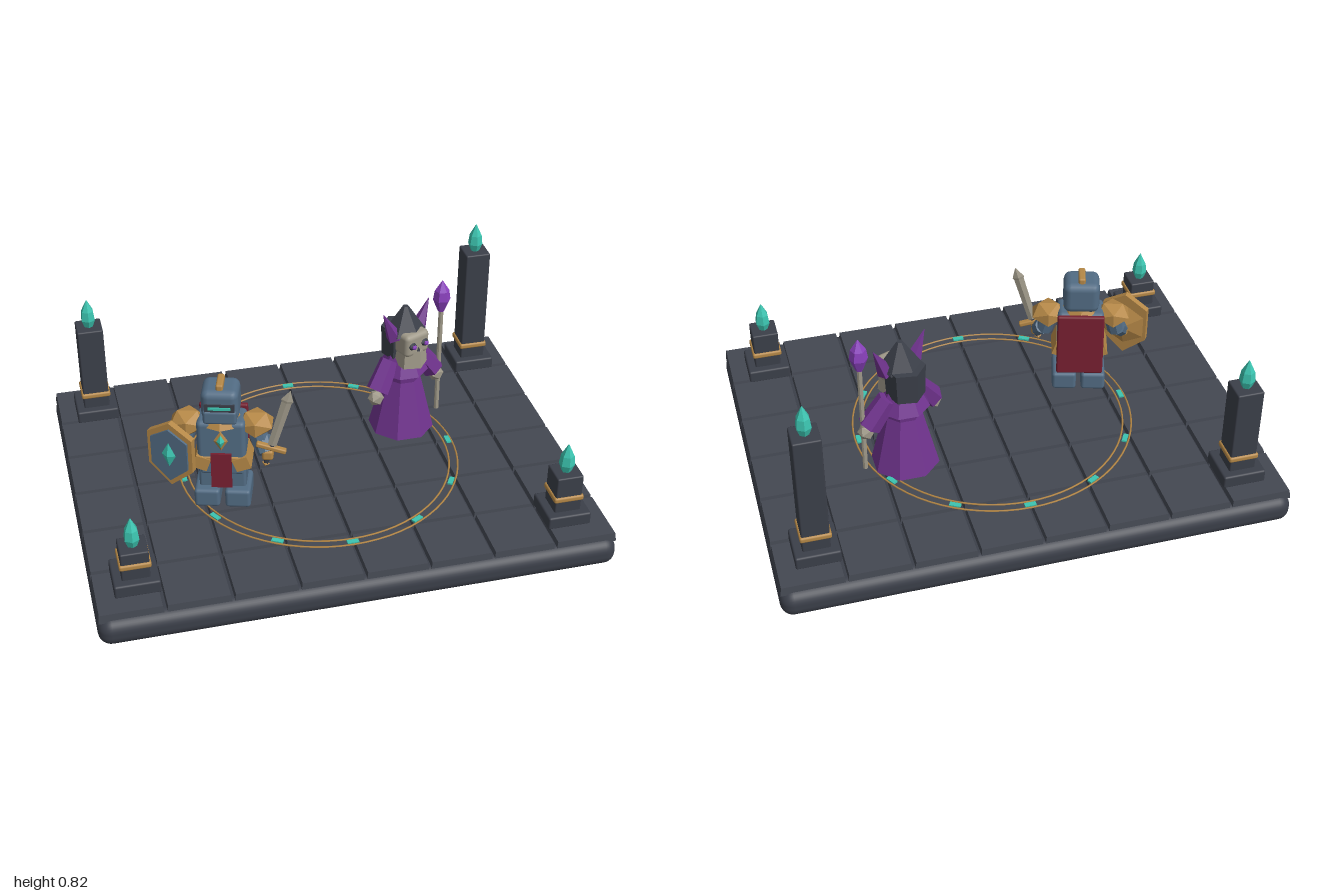
import * as THREE from 'three';
import { RoundedBoxGeometry } from 'three/addons/geometries/RoundedBoxGeometry.js';

const paint = (name, color) => Object.assign(new THREE.MeshStandardMaterial({ color }), { name });
const M = {
  stone: paint('darkStone', 0x3b3f49),
  tile: paint('tileStone', 0x444852),
  gold: paint('agedGold', 0xb58847),
  teal: paint('tealCrystal', 0x3cc4b0),
  blue: paint('blueSteel', 0x526c84),
  red: paint('redCloth', 0x761f30),
  purple: paint('purpleCloth', 0x71348f),
  violet: paint('violetCrystal', 0x8a41bd),
  bone: paint('paleBone', 0xa09a8a),
};

function add(parent, name, geo, mat, pos = [0, 0, 0], rot = [0, 0, 0]) {
  const mesh = new THREE.Mesh(geo, mat);
  mesh.name = name;
  mesh.position.set(...pos);
  mesh.rotation.set(...rot);
  parent.add(mesh);
  return mesh;
}

function group(parent, name, pos = [0, 0, 0], rot = [0, 0, 0]) {
  const g = new THREE.Group();
  g.name = name;
  g.position.set(...pos);
  g.rotation.set(...rot);
  parent.add(g);
  return g;
}

// Faceted normals without touching the material
function flat(geo) {
  const g = geo.index ? geo.toNonIndexed() : geo;
  g.computeVertexNormals();
  return g;
}
const box = (w, h, d) => new THREE.BoxGeometry(w, h, d);
const soft = (w, h, d, r = 0.012) => new RoundedBoxGeometry(w, h, d, 2, r);
const cone = (top, bottom, h, n) => flat(new THREE.CylinderGeometry(top, bottom, h, n));
const lathe = (pts, n) => flat(new THREE.LatheGeometry(pts.map(p => new THREE.Vector2(...p)), n));
const gem = (w, h, d) => flat(new THREE.OctahedronGeometry(1).scale(w, h, d));

// Tapered limb running from a to b
function limb(parent, name, a, b, ra, rb, n, mat) {
  const A = new THREE.Vector3(...a), B = new THREE.Vector3(...b);
  const dir = B.clone().sub(A);
  const mesh = add(parent, name, cone(rb, ra, dir.length(), n), mat);
  mesh.position.copy(A).add(B).multiplyScalar(0.5);
  mesh.quaternion.setFromUnitVectors(new THREE.Vector3(0, 1, 0), dir.normalize());
  return mesh;
}

const crystal = () => lathe([[0.001, 0], [0.018, 0], [0.031, 0.035], [0.026, 0.075], [0.001, 0.125]], 6);

function buildFloor(root) {
  add(root, 'baseSlab', new RoundedBoxGeometry(2, 0.115, 1.55, 4, 0.05), M.stone, [0, 0.0575, 0]);
  const floor = group(root, 'floorTiles');
  // Each tile has chamfered sides
  const tile = flat(new THREE.CylinderGeometry(0.116 * Math.SQRT2, 0.121 * Math.SQRT2, 0.035, 4).rotateY(Math.PI / 4));
  for (let i = 0; i < 8; i++)
    for (let j = 0; j < 6; j++)
      add(floor, 'tile', tile, M.tile, [-0.875 + i * 0.25, 0.1205, -0.625 + j * 0.25]);

  // Inlaid ritual circle
  const ring = group(root, 'ritualCircle', [0, 0.139, 0]);
  for (const r of [0.57, 0.535])
    add(ring, 'goldRing', new THREE.TorusGeometry(r, 0.004, 5, 72), M.gold, [0, 0, 0], [Math.PI / 2, 0, 0]);
  for (let i = 0; i < 12; i++) {
    const a = i * Math.PI / 6;
    add(ring, 'rune', box(0.02, 0.008, 0.045), M.teal, [Math.cos(a) * 0.555, 0.002, -Math.sin(a) * 0.555], [0, a, 0]);
  }
}

function buildPillar(root, x, z, top) {
  const p = group(root, 'crystalPillar', [x, 0, z]);
  add(p, 'plinth', soft(0.172, 0.055, 0.172, 0.008), M.stone, [0, 0.16, 0]);
  add(p, 'shaft', soft(0.106, top - 0.17, 0.106, 0.006), M.stone, [0, (top + 0.17) / 2, 0]);
  add(p, 'goldBand', soft(0.12, 0.024, 0.12, 0.008), M.gold, [0, 0.246, 0]);
  add(p, 'crystal', crystal(), M.teal, [0, top - 0.003, 0]);
}

function hexPlate(scale, depth) {
  const pts = [[0, 0.143], [-0.095, 0.085], [-0.095, -0.06], [0, -0.143], [0.095, -0.06], [0.095, 0.085]];
  const shape = new THREE.Shape(pts.map(([x, y]) => new THREE.Vector2(x * scale, y * scale)));
  return new THREE.ExtrudeGeometry(shape, { depth, bevelEnabled: false });
}

function buildKnight(root) {
  const k = group(root, 'knight', [-0.415, 0, 0.14], [0, -0.29, 0]);
  // Body
  add(k, 'torso', soft(0.19, 0.19, 0.125, 0.02), M.blue, [0, 0.425, 0]);
  add(k, 'hips', soft(0.17, 0.08, 0.115), M.blue, [0, 0.315, 0]);
  add(k, 'belt', soft(0.195, 0.03, 0.135, 0.008), M.gold, [0, 0.35, 0]);
  add(k, 'tabard', box(0.08, 0.15, 0.012), M.red, [0, 0.31, 0.077], [-0.06, 0, 0]);
  add(k, 'cape', soft(0.19, 0.275, 0.022, 0.008), M.red, [0, 0.385, -0.082], [0.04, 0, 0]);
  add(k, 'chestSetting', gem(0.028, 0.045, 0.014), M.gold, [0, 0.44, 0.064]);
  add(k, 'chestGem', gem(0.016, 0.03, 0.014), M.teal, [0, 0.44, 0.07]);
  add(k, 'gorget', cone(0.065, 0.085, 0.035, 8), M.gold, [0, 0.515, 0]);
  // Helmet
  add(k, 'helmet', soft(0.145, 0.135, 0.135, 0.03), M.blue, [0, 0.592, 0]);
  add(k, 'faceGuard', soft(0.13, 0.06, 0.03), M.blue, [0, 0.55, 0.06]);
  add(k, 'visor', box(0.115, 0.034, 0.014), M.stone, [0, 0.593, 0.064]);
  add(k, 'visorGlow', box(0.085, 0.011, 0.006), M.teal, [0, 0.593, 0.073]);
  add(k, 'crest', soft(0.028, 0.03, 0.09, 0.008), M.gold, [0, 0.665, 0]);
  // Mirrored limbs and armour
  for (const s of [-1, 1]) {
    add(k, 'boot', soft(0.1, 0.08, 0.155, 0.014), M.blue, [s * 0.06, 0.178, 0.012]);
    add(k, 'leg', soft(0.08, 0.12, 0.105), M.blue, [s * 0.052, 0.265, 0]);
    add(k, 'tasset', box(0.06, 0.055, 0.13), M.gold, [s * 0.078, 0.335, 0.006], [0, 0, s * 0.35]);
    const pad = flat(new THREE.IcosahedronGeometry(0.075, 0).scale(1, 0.72, 1));
    add(k, 'pauldron', pad, M.gold, [s * 0.132, 0.487, 0]);
    limb(k, 'upperArm', [s * 0.13, 0.48, 0], [s * 0.15, 0.4, 0.01], 0.036, 0.036, 8, M.blue);
    limb(k, 'forearm', [s * 0.15, 0.42, 0], [s * 0.172, 0.375, 0.045], 0.036, 0.032, 8, M.blue);
    add(k, 'gauntlet', soft(0.045, 0.045, 0.045), M.gold, [s * 0.178, 0.375, 0.045]);
  }
  // Sword
  const sword = group(k, 'sword', [0.186, 0.385, 0.05], [0, 0, -0.285]);
  add(sword, 'grip', cone(0.01, 0.01, 0.09, 8), M.stone, [0, -0.01, 0]);
  add(sword, 'pommel', gem(0.016, 0.016, 0.016), M.gold, [0, -0.055, 0]);
  add(sword, 'crossguard', soft(0.12, 0.02, 0.025, 0.006), M.gold, [0, 0.022, 0]);
  const blade = lathe([[0.001, 0], [0.017, 0], [0.02, 0.215], [0.024, 0.225], [0.001, 0.27]], 4);
  add(sword, 'blade', blade.scale(1, 1, 0.4), M.bone, [0, 0.025, 0]);
  // Shield
  const shield = group(k, 'shield', [-0.185, 0.388, 0.065], [0, -0.36, 0]);
  add(shield, 'shieldRim', hexPlate(1, 0.026), M.gold);
  add(shield, 'shieldBoss', cone(0.02, 0.095, 0.025, 6), M.gold, [0, 0, -0.0125], [-Math.PI / 2, 0, 0]);
  add(shield, 'shieldFace', hexPlate(0.82, 0.01), M.blue, [0, 0, 0.025]);
  add(shield, 'shieldGem', gem(0.03, 0.055, 0.016), M.teal, [0, 0.005, 0.036]);
}

function buildSorcerer(root) {
  const w = group(root, 'sorcerer', [0.4, 0, -0.165], [0, 0.4, 0]);
  // Robe
  add(w, 'robe', lathe([[0.001, 0.142], [0.136, 0.142], [0.075, 0.385], [0.085, 0.45], [0.001, 0.5]], 8), M.purple);
  add(w, 'mantle', cone(0.062, 0.105, 0.085, 8), M.purple, [0, 0.465, 0]);
  // Skull
  add(w, 'skull', soft(0.12, 0.1, 0.11, 0.02), M.bone, [0, 0.575, 0.04]);
  add(w, 'jaw', cone(0.062, 0.07, 0.075, 6), M.bone, [0, 0.51, 0.045]);
  add(w, 'nose', gem(0.009, 0.018, 0.01), M.stone, [0, 0.548, 0.095]);
  // Hood
  add(w, 'hoodPeak', cone(0.012, 0.086, 0.11, 6), M.stone, [0, 0.66, 0.005]);
  add(w, 'hoodDrape', cone(0.08, 0.075, 0.13, 6), M.stone, [0, 0.55, -0.022]);
  // Mirrored face, horns and arms
  for (const s of [-1, 1]) {
    add(w, 'eyeSocket', flat(new THREE.IcosahedronGeometry(0.02, 0)), M.stone, [s * 0.031, 0.578, 0.09]);
    add(w, 'eye', flat(new THREE.IcosahedronGeometry(0.011, 0)), M.violet, [s * 0.031, 0.578, 0.105]);
    limb(w, 'horn', [s * 0.062, 0.595, 0.015], [s * 0.118, 0.715, 0.01], 0.035, 0.001, 5, M.purple);
    limb(w, 'sleeve', [s * 0.07, 0.48, 0], [s * 0.148, 0.372, 0.02], 0.04, 0.048, 6, M.purple);
    add(w, 'hand', flat(new THREE.IcosahedronGeometry(0.034, 0)), M.bone, [s * 0.16, 0.345, 0.026]);
  }
  // Staff
  add(w, 'staff', cone(0.01, 0.01, 0.5, 8), M.bone, [0.17, 0.415, 0.03]);
  const orb = lathe([[0.001, 0], [0.014, 0], [0.036, 0.055], [0.03, 0.095], [0.001, 0.14]], 6);
  add(w, 'staffCrystal', orb, M.violet, [0.17, 0.645, 0.03]);
}

export function createModel() {
  const root = new THREE.Group();
  root.name = 'duelArena';
  buildFloor(root);
  buildPillar(root, -0.836, 0.575, 0.305);
  buildPillar(root, 0.836, 0.575, 0.345);
  buildPillar(root, -0.836, -0.575, 0.557);
  buildPillar(root, 0.836, -0.575, 0.697);
  buildKnight(root);
  buildSorcerer(root);
  return root;
}
